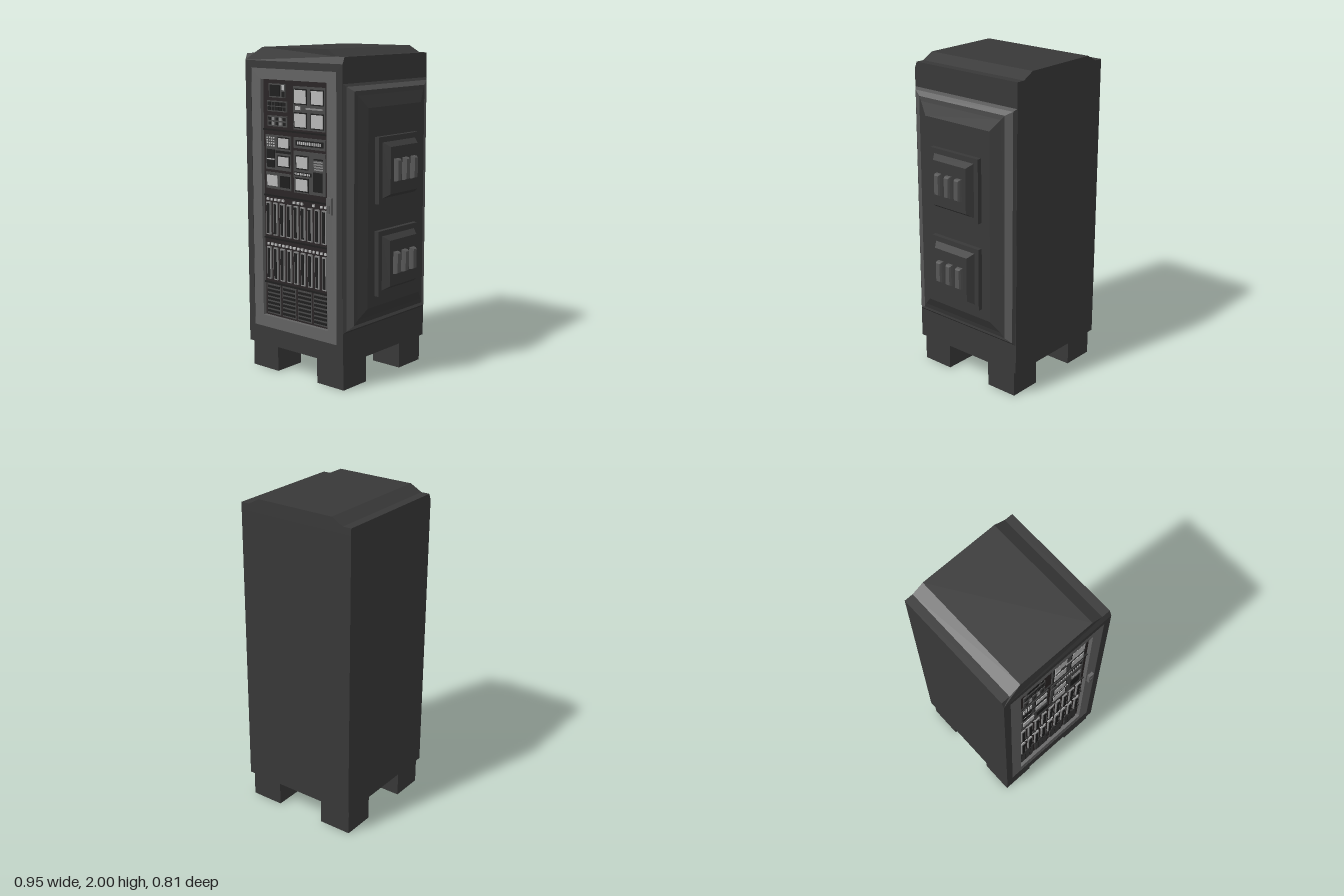
import * as THREE from 'three';

const mat = (color) => new THREE.MeshStandardMaterial({ color, flatShading: true });
const M = {
  body: mat(0x383838), frame: mat(0x626262), trim: mat(0x565656), back: mat(0x2a2526),
  panel: mat(0x484848), dark: mat(0x1e1e1e), light: mat(0xb8b8b8), rim: mat(0x858585),
};
const BASE = 0.365; // z of the recessed instrument board
const FRONT = 0.395; // z of the cabinet front

function add(parent, name, geometry, material) {
  const mesh = new THREE.Mesh(geometry, material);
  mesh.name = name;
  parent.add(mesh);
  return mesh;
}

// Box given by its limits
function block(parent, name, material, x0, x1, y0, y1, z0, z1) {
  const mesh = add(parent, name, new THREE.BoxGeometry(x1 - x0, y1 - y0, z1 - z0), material);
  mesh.position.set((x0 + x1) / 2, (y0 + y1) / 2, (z0 + z1) / 2);
  return mesh;
}

// Plate on the instrument board, by centre, size and height above the board
const plate = (parent, name, material, x, y, w, h, top) =>
  block(parent, name, material, x - w / 2, x + w / 2, y - h / 2, y + h / 2, BASE, BASE + top);

// Upright rectangular frame with an opening: [halfWidth, y0, y1]
function ring(parent, name, material, outer, inner, z0, z1) {
  const rect = (s, [w, a, b]) => s.moveTo(-w, a).lineTo(w, a).lineTo(w, b).lineTo(-w, b).closePath();
  const shape = rect(new THREE.Shape(), outer);
  shape.holes.push(rect(new THREE.Path(), inner));
  const geo = new THREE.ExtrudeGeometry(shape, { depth: z1 - z0, bevelEnabled: false });
  add(parent, name, geo.translate(0, 0, z0), material);
}

// Stepped rectangular relief facing +x; each step is [x, halfDepth, y0, y1]
function relief(parent, name, material, steps, zc = 0, capped = true) {
  const v = [];
  const corners = steps.map(([x, h, a, b]) =>
    [[x, a, zc + h], [x, a, zc - h], [x, b, zc - h], [x, b, zc + h]]);
  const quad = (a, b, c, d) => v.push(...a, ...b, ...c, ...a, ...c, ...d);
  for (let k = 0; k + 1 < corners.length; k++)
    for (let i = 0; i < 4; i++) {
      const j = (i + 1) % 4;
      quad(corners[k][i], corners[k][j], corners[k + 1][j], corners[k + 1][i]);
    }
  if (capped) quad(...corners[corners.length - 1]);
  const geo = new THREE.BufferGeometry();
  geo.setAttribute('position', new THREE.Float32BufferAttribute(v, 3));
  geo.computeVertexNormals();
  add(parent, name, geo, material);
}

function buildCabinet(g) {
  block(g, 'cabinetBody', M.body, -0.385, 0.385, 0.165, 1.92, -0.395, BASE);
  ring(g, 'cabinetFront', M.body, [0.385, 0.165, 1.92], [0.338, 0.278, 1.876], BASE, FRONT);
  // Raised roof with low shoulders and a front edge that leans back
  const pts = [[-0.385, 1.92], [0.385, 1.92], [0.385, 1.96], [0.33, 1.96], [0.255, 2],
    [-0.255, 2], [-0.33, 1.96], [-0.385, 1.96]].map(([x, y]) => new THREE.Vector2(x, y));
  const geo = new THREE.ExtrudeGeometry(new THREE.Shape(pts), { depth: 0.79, bevelEnabled: false });
  geo.translate(0, 0, -0.395);
  const p = geo.attributes.position;
  for (let i = 0; i < p.count; i++)
    if (p.getZ(i) > 0 && p.getY(i) > 1.95) p.setZ(i, FRONT - 0.016);
  geo.computeVertexNormals();
  add(g, 'roof', geo, M.body);
  for (const x of [-0.268, 0.268])
    for (const z of [-0.268, 0.268])
      block(g, 'foot', M.body, x - 0.105, x + 0.105, 0, 0.17, z - 0.105, z + 0.105);
}

function buildDoor(g) {
  ring(g, 'doorFrame', M.frame, [0.338, 0.278, 1.876], [0.263, 0.352, 1.812], BASE, FRONT - 0.002);
  block(g, 'doorHandle', M.frame, 0.275, 0.31, 1.055, 1.155, 0.39, 0.412);
  block(g, 'doorHandleGrip', M.trim, 0.282, 0.303, 1.065, 1.11, 0.41, 0.415);
}

function buildInstruments(g) {
  plate(g, 'instrumentBoard', M.back, 0, 1.082, 0.526, 1.46, 0.003);
  for (const y of [1.51, 1.109, 0.844, 0.563]) plate(g, 'shelfDivider', M.dark, 0, y, 0.526, 0.01, 0.012);

  // Upper left: monitor, keypad and dial strip
  plate(g, 'monitor', M.panel, -0.143, 1.746, 0.133, 0.082, 0.012);
  plate(g, 'monitorScreen', M.dark, -0.16, 1.746, 0.085, 0.066, 0.014);
  plate(g, 'monitorButton', M.light, -0.093, 1.766, 0.022, 0.03, 0.014);
  plate(g, 'monitorSlot', M.dark, -0.093, 1.725, 0.022, 0.03, 0.014);
  plate(g, 'keypad', M.panel, -0.146, 1.653, 0.16, 0.064, 0.01);
  plate(g, 'dialStrip', M.panel, -0.146, 1.564, 0.16, 0.064, 0.01);
  for (let i = 0; i < 5; i++)
    for (const s of [-1, 1]) {
      const x = -0.146 + (i - 2) * 0.03;
      plate(g, 'key', M.dark, x, 1.653 + s * 0.014, 0.024, 0.022, 0.014);
      plate(g, 'dial', i % 2 ? M.rim : M.dark, x, 1.564 + s * 0.014, 0.018, 0.018, 0.014);
    }

  // Upper right: four gauges
  plate(g, 'gaugePanel', M.panel, 0.111, 1.653, 0.25, 0.254, 0.01);
  for (const x of [0.045, 0.177])
    for (const y of [1.72, 1.582]) {
      plate(g, 'gaugeRim', M.dark, x, y, 0.104, 0.092, 0.013);
      plate(g, 'gauge', M.light, x, y, 0.09, 0.078, 0.016);
    }
  plate(g, 'gaugeLabel', M.light, 0.025, 1.653, 0.042, 0.022, 0.014);
  plate(g, 'gaugeBar', M.rim, 0.153, 1.653, 0.132, 0.01, 0.014);

  // Middle left: two displays with lamps and switches
  plate(g, 'displayPanel', M.panel, -0.14, 1.375, 0.205, 0.21, 0.01);
  for (const y of [1.437, 1.326]) {
    plate(g, 'displayRim', M.dark, -0.093, y, 0.098, 0.07, 0.013);
    plate(g, 'display', M.light, -0.093, y, 0.084, 0.056, 0.016);
  }
  plate(g, 'displayBar', M.dark, -0.1, 1.382, 0.12, 0.015, 0.014);
  for (let i = 0; i < 4; i++)
    for (let j = 0; j < 4; j++)
      plate(g, 'lamp', M.light, -0.226 + i * 0.018, 1.463 - j * 0.016, 0.009, 0.008, 0.014);
  plate(g, 'switchBlock', M.dark, -0.2, 1.365, 0.066, 0.055, 0.014);
  plate(g, 'switchBlock', M.dark, -0.2, 1.306, 0.066, 0.045, 0.014);
  plate(g, 'switchBar', M.light, -0.2, 1.334, 0.06, 0.007, 0.015);
  plate(g, 'lowerPanel', M.panel, -0.14, 1.203, 0.205, 0.1, 0.01);
  plate(g, 'lowerDisplay', M.light, -0.188, 1.203, 0.084, 0.064, 0.015);
  plate(g, 'lowerScreen', M.dark, -0.084, 1.203, 0.08, 0.07, 0.015);

  // Middle right: indicator strip, displays and meters
  plate(g, 'indicatorPanel', M.panel, 0.111, 1.449, 0.25, 0.064, 0.01);
  plate(g, 'indicatorStrip', M.dark, 0.114, 1.449, 0.215, 0.034, 0.013);
  plate(g, 'meterPanel', M.panel, 0.111, 1.275, 0.25, 0.25, 0.01);
  plate(g, 'meterStrip', M.dark, 0.06, 1.265, 0.135, 0.022, 0.013);
  for (let i = 0; i < 12; i++) {
    plate(g, 'indicator', M.light, 0.026 + i * 0.016, 1.449, 0.009, 0.018, 0.016);
    if (i < 9) plate(g, 'meterLight', M.light, 0.004 + i * 0.014, 1.265, 0.008, 0.012, 0.016);
  }
  for (const [x, y, w] of [[0.056, 1.334, 0.086], [0.052, 1.2, 0.095]]) {
    plate(g, 'meterRim', M.dark, x, y, w + 0.014, 0.084, 0.013);
    plate(g, 'meter', M.light, x, y, w, 0.068, 0.016);
  }
  for (let i = 0; i < 5; i++) plate(g, 'meterScale', i < 1 ? M.dark : M.rim, 0.185, 1.362 - i * 0.015, 0.07, 0.008, 0.014);
  plate(g, 'meterBox', M.dark, 0.18, 1.228, 0.07, 0.115, 0.016);

  // Two racks of card slots with a row of lamps above
  for (const [y, skip] of [[0.966, [5, 6, 10, 11, 13]], [0.687, []]]) {
    for (let i = 0; i < 9; i++) {
      const x = (i - 4) * 0.0565;
      plate(g, 'cardSlot', M.rim, x, y, 0.033, 0.202, 0.014);
      plate(g, 'cardSlotCentre', M.dark, x, y, 0.02, 0.186, 0.017);
    }
    for (let i = 0; i < 16; i++)
      if (!skip.includes(i)) plate(g, 'rackLamp', M.light, -0.232 + i * 0.031, y + 0.12, 0.015, 0.014, 0.012);
  }

  // Louvred vents
  for (let c = 0; c < 4; c++) {
    const x = (c - 1.5) * 0.128;
    plate(g, 'ventPanel', M.panel, x, 0.458, 0.112, 0.19, 0.006);
    for (let r = 0; r < 7; r++) plate(g, 'ventSlat', M.dark, x, 0.536 - r * 0.026, 0.098, 0.014, 0.012);
  }
}

function buildSide(g) {
  // Bulging side panel with a lighter trim round it
  const edge = [0.4, 0.378, 0.37, 1.795], trimIn = [0.418, 0.332, 0.398, 1.768];
  relief(g, 'sidePanelEdge', M.body, [[0.385, 0.393, 0.355, 1.81], edge], 0, false);
  relief(g, 'sidePanelTrim', M.trim, [edge, trimIn], 0, false);
  relief(g, 'sidePanel', M.body, [trimIn, [0.426, 0.31, 0.428, 1.742], [0.453, 0.25, 0.49, 1.67]]);
  // Two switch boxes, each with three levers
  for (const y of [1.304, 0.751]) {
    const box = new THREE.Group();
    box.name = 'switchBox';
    box.position.y = y;
    g.add(box);
    relief(box, 'switchBoxPlate', M.body, [[0.45, 0.187, -0.196, 0.196], [0.4825, 0.187, -0.196, 0.196]]);
    relief(box, 'switchBoxCover', M.body, [[0.4825, 0.155, -0.164, 0.164], [0.5225, 0.128, -0.138, 0.138]]);
    for (const z of [-0.078, 0, 0.078])
      relief(box, 'lever', M.trim, [[0.5225, 0.02, -0.067, 0.067], [0.54, 0.02, -0.065, 0.065], [0.5525, 0.015, -0.058, 0.058]], z);
  }
}

export function createModel() {
  const model = new THREE.Group();
  model.name = 'equipmentCabinet';
  const cabinet = new THREE.Group();
  cabinet.name = 'cabinet';
  // Stands very slightly turned
  cabinet.position.set(-0.0825, 0, -0.003);
  cabinet.rotation.y = 0.018;
  model.add(cabinet);
  for (const [name, build] of [['shell', buildCabinet], ['door', buildDoor],
    ['instruments', buildInstruments], ['sideEquipment', buildSide]]) {
    const part = new THREE.Group();
    part.name = name;
    build(part);
    cabinet.add(part);
  }
  return model;
}
